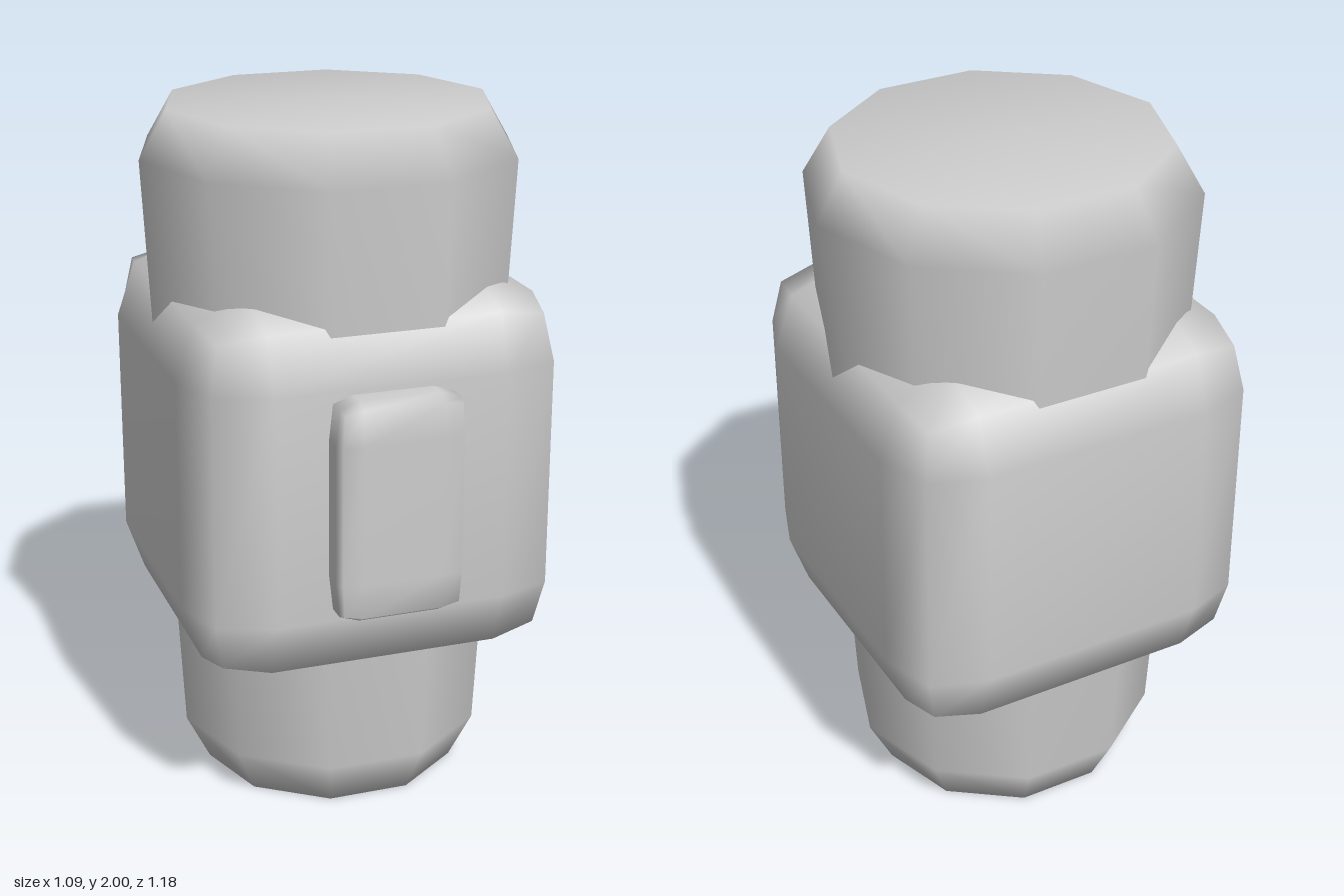
import * as THREE from 'three';
import { mergeVertices } from 'three/addons/utils/BufferGeometryUtils.js';

// Cube with two-step bevels: each coordinate depends on how many axes lie on the outer layer
function bevelledBox(hx, hy, hz, flat, edge, corner) {
  const g = new THREE.BoxGeometry(2, 2, 2, 3, 3, 3);
  const p = g.attributes.position;
  const outerSize = [0, 1, edge, corner];
  for (let i = 0; i < p.count; i++) {
    const c = [p.getX(i), p.getY(i), p.getZ(i)];
    const outer = c.filter((v) => Math.abs(v) > 0.9).length;
    const [x, y, z] = c.map((v) => Math.sign(v) * (Math.abs(v) > 0.9 ? outerSize[outer] : flat));
    p.setXYZ(i, x * hx, y * hy, z * hz);
  }
  // weld the sides so the shading runs smoothly over the bevels
  g.deleteAttribute('normal');
  g.deleteAttribute('uv');
  const welded = mergeVertices(g);
  welded.computeVertexNormals();
  return welded;
}

export function createModel() {
  const model = new THREE.Group();
  const grey = new THREE.MeshStandardMaterial({ color: 0xcccccc });
  grey.name = 'plain grey';
  const axisZ = -0.045;

  const add = (name, geometry, y, z) => {
    const mesh = new THREE.Mesh(geometry, grey);
    mesh.name = name;
    mesh.position.set(0, y, z);
    model.add(mesh);
  };

  // ten-sided tapered shaft, bevelled at both ends
  const profile = [[0, 0], [0.385, 0], [0.455, 0.14], [0.545, 1.865], [0.465, 2], [0, 2]]
    .map(([r, y]) => new THREE.Vector2(r, y));
  add('shaft', new THREE.LatheGeometry(profile, 10, Math.PI / 2), 0, axisZ);

  // rounded block around the middle of the shaft
  add('block', bevelledBox(0.545, 0.545, 0.545, 0.61, 0.9, 0.855), 1, axisZ);

  // raised plate on the front of the block
  add('frontPlate', bevelledBox(0.183, 0.317, 0.1, 0.63, 0.94, 0.91), 1.003, 0.491);

  return model;
}
